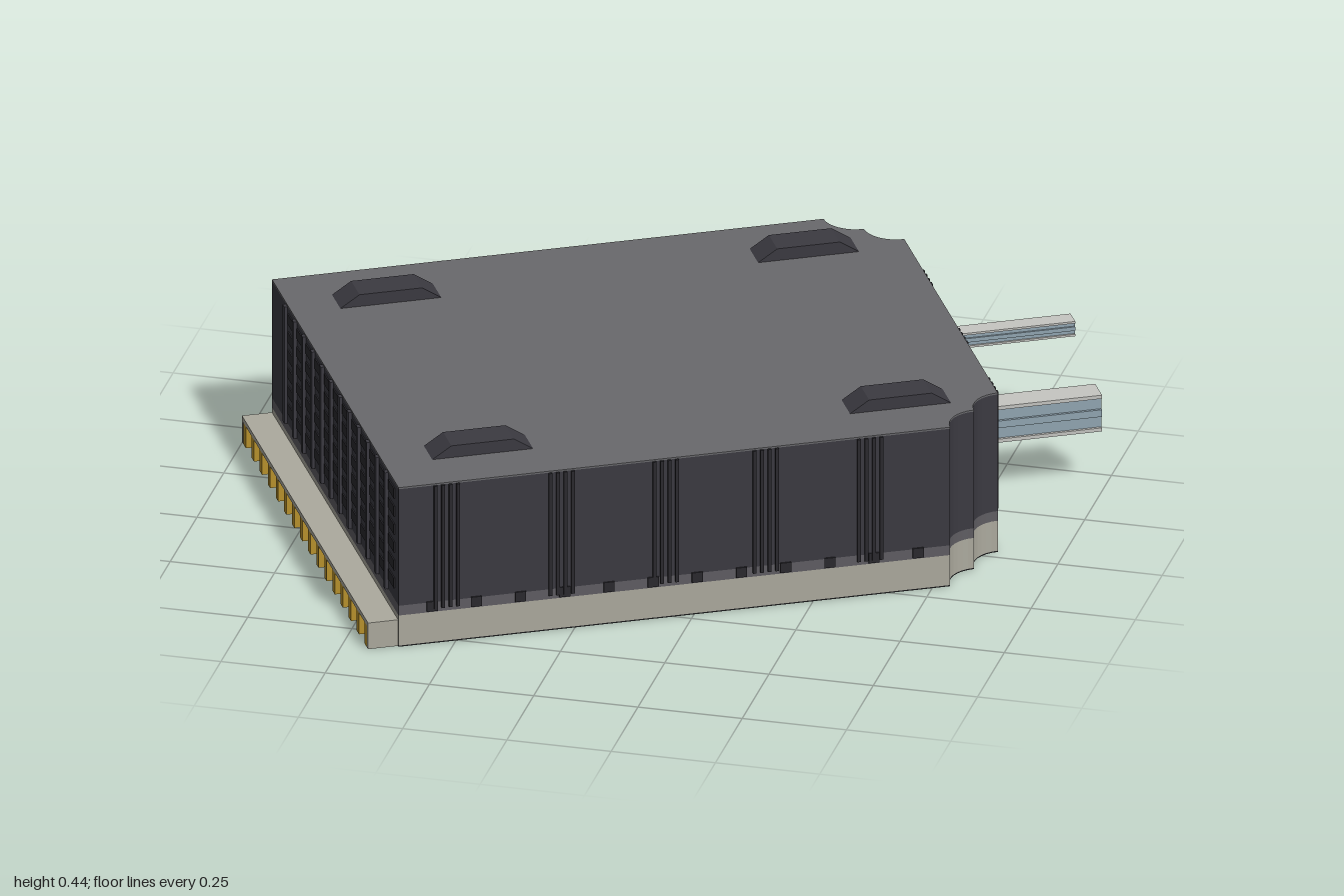
import * as THREE from 'three';

const mat = (name, hex, double) => {
  const m = new THREE.MeshStandardMaterial({ color: hex });
  m.name = name;
  if (double) m.side = THREE.DoubleSide;
  return m;
};

export function createModel() {
  const M = {
    body: mat('charcoal', 0x3b3a41),
    dark: mat('dark recess', 0x29282d),
    lid: mat('lid grey', 0x69696c),
    band: mat('band grey', 0x5f5d62),
    base: mat('stone', 0xacaa9e),
    bottom: mat('black underside', 0x29292b),
    steel: mat('blue steel', 0x92a6b2),
    pale: mat('pale metal', 0xc6c6c2),
    gold: mat('gold', 0xb8922c),
  };
  const root = new THREE.Group();
  root.name = 'module';
  const block = new THREE.Group();
  block.name = 'turnedBlock';
  block.rotation.y = THREE.MathUtils.degToRad(28.9);
  root.add(block);

  const add = (name, geo, material, parent = block) => {
    const mesh = new THREE.Mesh(geo, material);
    mesh.name = name;
    parent.add(mesh);
    return mesh;
  };
  // Box given by its limits on each axis
  const box = (name, material, x0, x1, y0, y1, z0, z1, parent) => {
    const g = new THREE.BoxGeometry(x1 - x0, y1 - y0, z1 - z0);
    g.translate((x0 + x1) / 2, (y0 + y1) / 2, (z0 + z1) / 2);
    return add(name, g, material, parent);
  };
  const group = (name) => {
    const g = new THREE.Group();
    g.name = name;
    block.add(g);
    return g;
  };

  // Plan outline: rectangle with two scalloped steps at each right-hand corner
  const L = -0.72, R = 0.757, B = -0.638, F = 0.538, r = 0.077, H = Math.PI / 2;
  const plan = new THREE.Shape();
  plan.moveTo(L, B);
  plan.lineTo(R - 2 * r, B);
  plan.absarc(R - r, B, r, Math.PI, H, true);
  plan.absarc(R, B + r, r, Math.PI, H, true);
  plan.lineTo(R, F - 2 * r);
  plan.absarc(R, F - r, r, -H, -Math.PI, true);
  plan.absarc(R - r, F, r, -H, -Math.PI, true);
  plan.lineTo(L, F);
  plan.closePath();
  const slab = (name, material, y0, y1) => {
    const g = new THREE.ExtrudeGeometry(plan, { depth: y1 - y0, bevelEnabled: false, curveSegments: 4 });
    g.rotateX(H);
    g.translate(0, y1, 0);
    add(name, g, material);
  };
  slab('underside', M.bottom, 0, 0.003);
  slab('base', M.base, 0.003, 0.08);
  slab('band', M.band, 0.08, 0.105);
  slab('body', M.body, 0.105, 0.404);
  slab('lid', M.lid, 0.404, 0.408);

  // Overhanging ledge with end walls and a row of pins below it
  const ledge = group('ledge');
  box('ledgePlate', M.base, -0.792, L, 0.055, 0.067, B, F - 0.005, ledge);
  box('ledgeEnd', M.base, -0.792, L, 0, 0.055, B, B + 0.012, ledge);
  box('ledgeEnd', M.base, -0.792, L, 0, 0.055, F - 0.017, F - 0.005, ledge);
  box('ledgeRecess', M.dark, L - 0.004, L, 0.002, 0.055, B + 0.012, F - 0.017, ledge);
  const pins = group('pins');
  for (let i = 0; i < 16; i++) {
    const z = -0.612 + i * 0.075;
    box('pin', M.gold, -0.792, -0.776, 0, 0.055, z - 0.011, z + 0.011, pins);
    box('pinArm', M.gold, -0.776, L, 0.042, 0.054, z - 0.011, z + 0.011, pins);
  }

  // Trapezoid feet on the lid
  const foot = new THREE.Shape([[-0.124, 0], [0.124, 0], [0.075, 0.032], [-0.075, 0.032]]
    .map(([x, y]) => new THREE.Vector2(x, y)));
  const footGeo = new THREE.ExtrudeGeometry(foot, { depth: 0.078, bevelEnabled: false });
  footGeo.translate(0, 0, -0.039);
  for (const x of [-0.485, 0.517]) for (const z of [-0.483, 0.37]) {
    add('topFoot', footGeo, M.body).position.set(x, 0.406, z);
  }

  // Groups of narrow fins on the front and back faces
  const fins = group('fins');
  for (const x of [-0.605, -0.33, -0.08, 0.16, 0.41]) for (let i = 0; i < 4; i++) {
    const c = x + (i - 1.5) * 0.018;
    box('frontFin', M.dark, c - 0.004, c + 0.004, 0.09, 0.404, F, F + 0.006, fins);
  }
  for (const x of [0.52, 0.4, -0.32, -0.39, -0.56]) {
    box('backFin', M.dark, x - 0.006, x + 0.006, 0.09, 0.404, B - 0.005, B, fins);
  }
  // Fins on the prong side
  for (const z of [0.33, 0.05, -0.28]) for (let i = 0; i < 4; i++) {
    const c = z + (i - 1.5) * 0.024;
    box('sideFin', M.dark, R, R + 0.005, 0.105, 0.404, c - 0.005, c + 0.005, fins);
  }
  // Dark teeth along the band
  const teeth = group('bandTeeth');
  for (let i = 0; i < 12; i++) {
    const x = -0.64 + i * 0.106;
    box('frontTooth', M.dark, x - 0.013, x + 0.013, 0.083, 0.108, F, F + 0.004, teeth);
    box('backTooth', M.dark, x - 0.013, x + 0.013, 0.083, 0.108, B - 0.004, B, teeth);
  }

  // Vent grid on the ledge side
  const vents = group('vents');
  for (let c = 0; c < 12; c++) {
    const z = -0.5 + c * 0.085;
    box('ventRib', M.body, L - 0.008, L, 0.105, 0.404, z - 0.008, z + 0.008, vents);
    for (let k = 0; k < 6; k++) {
      const y = 0.135 + k * 0.046;
      box('ventSlot', M.dark, L - 0.003, L, y, y + 0.026, z + 0.016, z + 0.069, vents);
    }
  }

  // Prongs: pale flanges above and below a ribbed steel core
  const prong = (z, w, y0, y1, t) => {
    const p = group('prong');
    const x0 = R - 0.01, x1 = 1.08, h = w / 2, mid = (y0 + y1) / 2;
    box('prongTop', M.pale, x0, x1, y1 - t, y1, z - h, z + h, p);
    box('prongBottom', M.pale, x0, x1, y0, y0 + t, z - h, z + h, p);
    box('prongCore', M.steel, x0, x1, y0 + t, y1 - t, z - h * 0.8, z + h * 0.8, p);
    box('prongRib', M.steel, x0, x1, mid - t, mid + t, z - h, z + h, p);
  };
  prong(0.07, 0.064, 0.143, 0.236, 0.009);
  prong(-0.169, 0.044, 0.274, 0.312, 0.005);

  return root;
}
